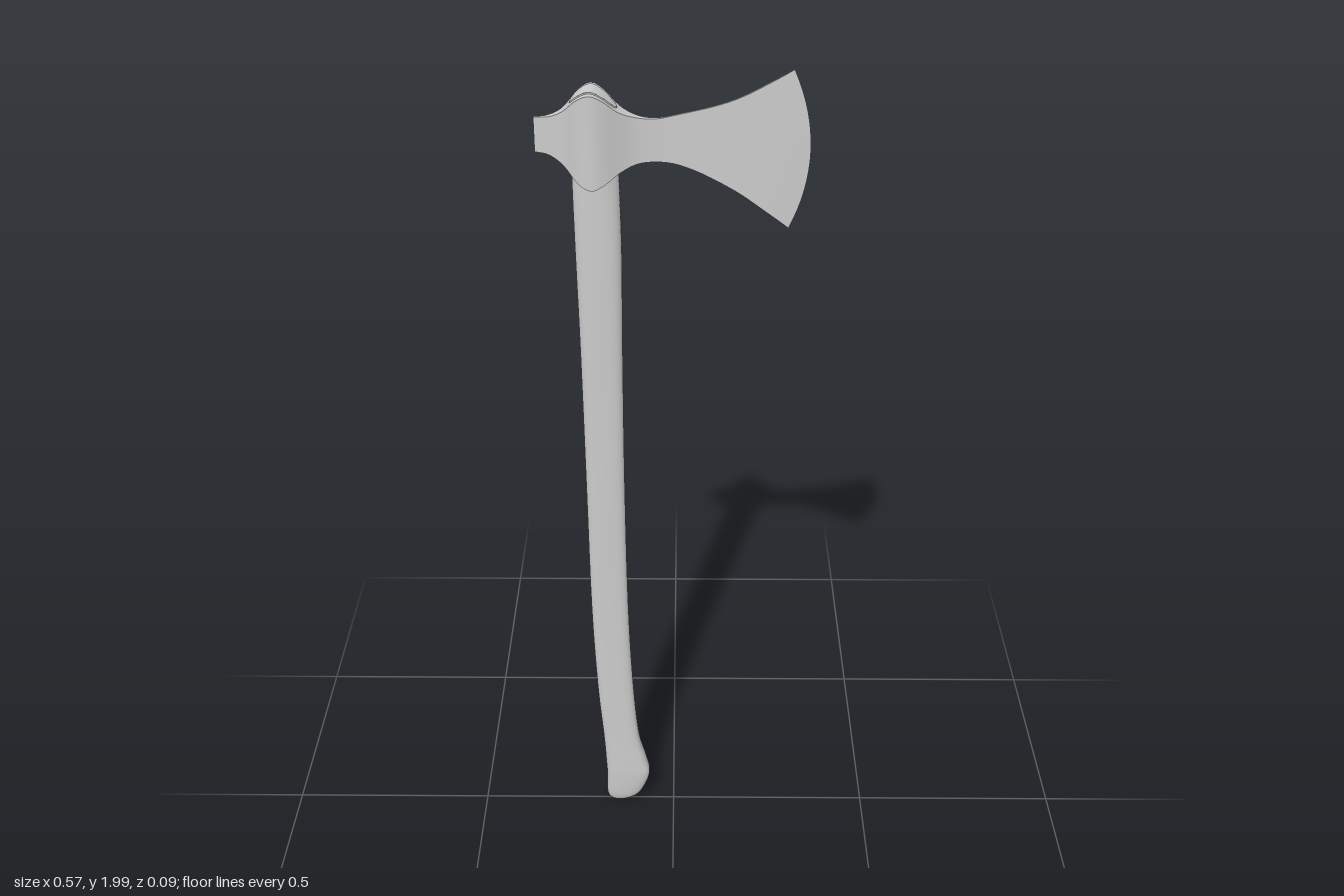
import * as THREE from 'three';
import { mergeGeometries } from 'three/addons/utils/BufferGeometryUtils.js';

// Smooth curved patch; outside is (du x dv)
function patch(fn, nu, nv) {
  const pos = [], idx = [];
  for (let j = 0; j <= nv; j++) {
    for (let i = 0; i <= nu; i++) pos.push(...fn(i / nu, j / nv));
  }
  for (let j = 0; j < nv; j++) {
    for (let i = 0; i < nu; i++) {
      const a = j * (nu + 1) + i, b = a + 1, c = a + nu + 1, d = c + 1;
      idx.push(a, b, d, a, d, c);
    }
  }
  const g = new THREE.BufferGeometry();
  g.setAttribute('position', new THREE.Float32BufferAttribute(pos, 3));
  g.setIndex(idx);
  g.computeVertexNormals();
  return g;
}

// Smooth interpolation of rows of values over rising keys
function interpolate(keys, rows) {
  const spline = new THREE.CubicInterpolant(
    new Float32Array(keys), new Float32Array(rows.flat()), rows[0].length);
  return (t) => Array.from(spline.evaluate(t));
}

// Head sections along x: x, bottom, top, half thickness
const HEAD = [
  [-0.29, 1.825, 1.9, 0.002],
  [-0.26, 1.82, 1.902, 0.007],
  [-0.23, 1.8, 1.915, 0.015],
  [-0.2, 1.768, 1.945, 0.036],
  [-0.172, 1.755, 1.958, 0.046],
  [-0.145, 1.765, 1.945, 0.04],
  [-0.115, 1.785, 1.918, 0.025],
  [-0.08, 1.8, 1.902, 0.01],
  [-0.04, 1.804, 1.897, 0.004],
  [0.01, 1.797, 1.906, 0.0025],
  [0.125, 1.742, 1.937, 0.0025],
  [0.21, 1.682, 1.98, 0.0025],
  [0.245, 1.655, 2.0, 0.0003],
];
const headAt = interpolate(HEAD.map((r) => r[0]), HEAD.map((r) => r.slice(1)));
const X0 = -0.29, X1 = 0.245;

// Handle sections from the bottom: y, back x, front x, half width, squareness
const HANDLE = [
  [0.008, -0.155, -0.135, 0.006, 2.2],
  [0.016, -0.17, -0.112, 0.015, 2.4],
  [0.04, -0.177, -0.086, 0.022, 2.8],
  [0.1, -0.176, -0.064, 0.026, 3.2],
  [0.15, -0.178, -0.072, 0.026, 3.2],
  [0.23, -0.182, -0.09, 0.025, 3.2],
  [0.4, -0.194, -0.103, 0.024, 3.2],
  [0.65, -0.203, -0.112, 0.023, 3.2],
  [1.0, -0.206, -0.115, 0.024, 3],
  [1.35, -0.209, -0.114, 0.026, 2.8],
  [1.6, -0.213, -0.112, 0.028, 2.5],
  [1.78, -0.215, -0.115, 0.028, 2.1],
  [2.0, -0.215, -0.118, 0.028, 2],
];
const handleAt = interpolate(HANDLE.map((r, i) => i), HANDLE);

function handlePoint(t, angle) {
  const [y, x0, x1, hz, p] = handleAt(t * (HANDLE.length - 1));
  const bend = (k) => Math.sign(k) * Math.pow(Math.abs(k), 2 / p);
  const x = (x0 + x1) / 2 + (x1 - x0) / 2 * bend(Math.cos(angle));
  // The upper end is trimmed flush with the curved eye of the head
  return [x, Math.min(y, headAt(x)[1] + 0.003), -hz * bend(Math.sin(angle))];
}

// Flat or curved end made of strips across the handle
function handleEnd(t, up) {
  return patch((u, v) => {
    const p = handlePoint(t, Math.PI * (1 - u));
    p[2] *= up ? 2 * v - 1 : 1 - 2 * v;
    return p;
  }, 24, 4);
}

function headPoint(u, h, w) {
  const x = X0 + (X1 - X0) * u;
  const [lo, hi, hz] = headAt(x);
  // Cutting edge bows outward
  const bow = 0.04 * Math.pow(Math.max(0, x) / X1, 2) * (1 - h * h);
  return [x + bow, (lo + hi) / 2 + (hi - lo) / 2 * h, hz * w];
}

export function createModel() {
  const group = new THREE.Group();
  const material = new THREE.MeshStandardMaterial({ color: 0xcccccc });
  const add = (name, parts) => {
    const mesh = new THREE.Mesh(mergeGeometries(parts), material);
    mesh.name = name;
    group.add(mesh);
  };

  // Curved wooden handle with a swollen foot
  add('handle', [
    patch((u, v) => handlePoint(v, u * Math.PI * 2), 32, 72),
    handleEnd(1, true),
    handleEnd(0, false),
  ]);

  // Axe head: two cheeks, upper and lower edges, poll and cutting edge
  add('axeHead', [
    patch((u, v) => headPoint(u, 2 * v - 1, 1), 64, 16),
    patch((u, v) => headPoint(u, 1 - 2 * v, -1), 64, 16),
    patch((u, v) => headPoint(u, 1, 1 - 2 * v), 64, 2),
    patch((u, v) => headPoint(u, -1, 2 * v - 1), 64, 2),
    patch((u, v) => headPoint(0, 2 * v - 1, 2 * u - 1), 1, 4),
    patch((u, v) => headPoint(1, 2 * v - 1, 1 - 2 * u), 1, 16),
  ]);

  return group;
}
